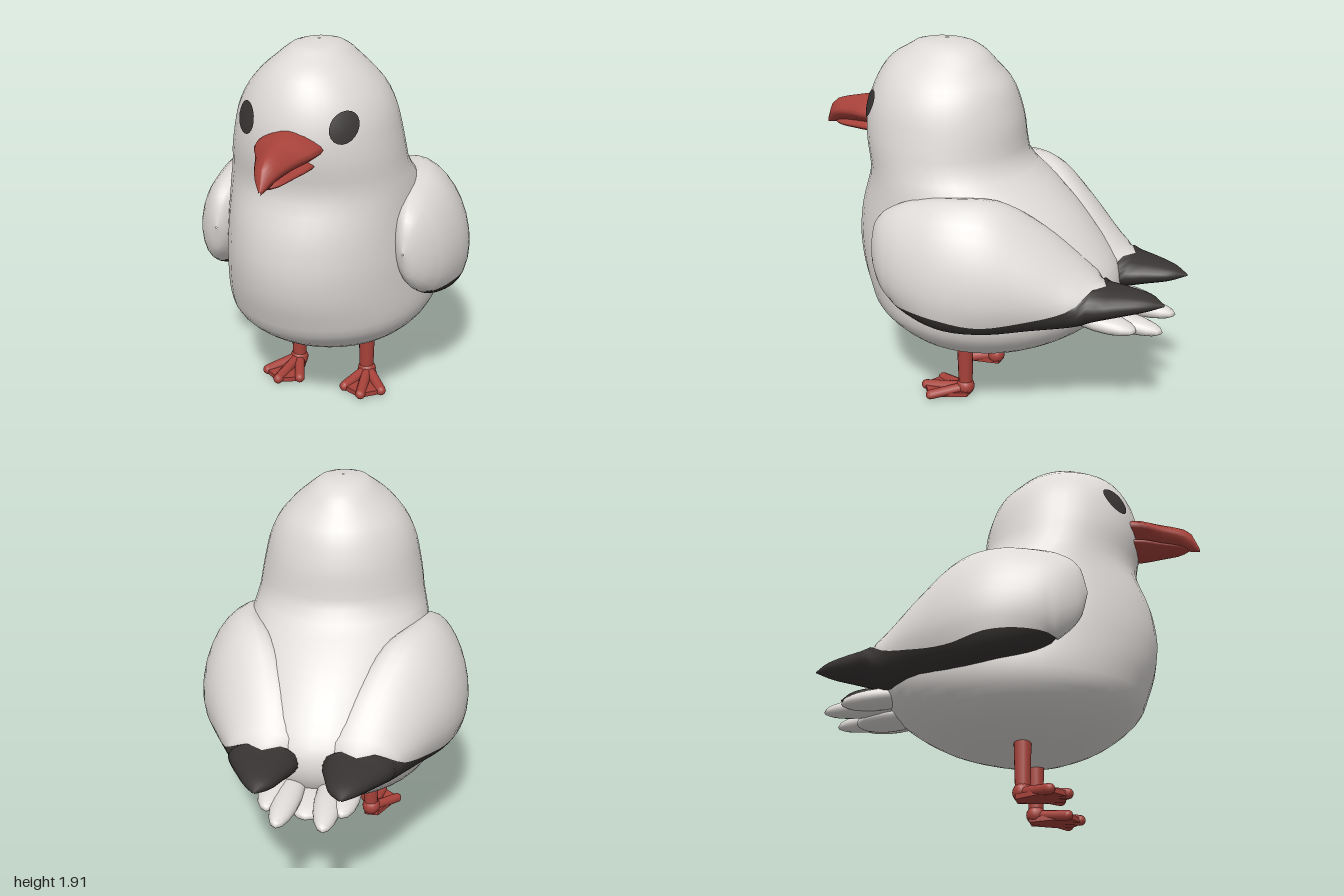
import * as THREE from 'three';
import { mergeVertices } from 'three/addons/utils/BufferGeometryUtils.js';

const mat = (name, color) => {
  const m = new THREE.MeshStandardMaterial({ color });
  m.name = name;
  return m;
};

// Smooth lookup in a table whose first column is the key
function sample(rows, k) {
  let i = 0;
  while (i < rows.length - 2 && k > rows[i + 1][0]) i++;
  const a = rows[i], b = rows[i + 1], h = b[0] - a[0];
  const t = THREE.MathUtils.clamp((k - a[0]) / h, 0, 1);
  const before = rows[Math.max(i - 1, 0)], after = rows[Math.min(i + 2, rows.length - 1)];
  return a.map((v, c) => {
    const m0 = (b[c] - before[c]) / (b[0] - before[0]) * h;
    const m1 = (after[c] - v) / (after[0] - a[0]) * h;
    const t2 = t * t, t3 = t2 * t;
    return (2 * t3 - 3 * t2 + 1) * v + (t3 - 2 * t2 + t) * m0 + (3 * t2 - 2 * t3) * b[c] + (t3 - t2) * m1;
  });
}

// Smooth surface over a grid of u and v in 0..1, mirrored when side is -1
function surface(nu, nv, fn, side = 1) {
  const pos = [], idx = [];
  for (let j = 0; j <= nv; j++) {
    for (let i = 0; i <= nu; i++) {
      const [x, y, z] = fn(i / nu, j / nv);
      pos.push(x * side, y, z);
    }
  }
  for (let j = 0; j < nv; j++) {
    for (let i = 0; i < nu; i++) {
      const a = j * (nu + 1) + i, b = a + 1, c = a + nu + 1, d = c + 1;
      if (side > 0) idx.push(a, b, d, a, d, c);
      else idx.push(a, d, b, a, c, d);
    }
  }
  let g = new THREE.BufferGeometry();
  g.setAttribute('position', new THREE.Float32BufferAttribute(pos, 3));
  g.setIndex(idx);
  g = mergeVertices(g, 1e-5);
  g.computeVertexNormals();
  return g;
}

const ease = (v, lo, hi) => (lo + hi) / 2 - (hi - lo) / 2 * Math.cos(Math.PI * v);
const power = (v, p) => Math.sign(v) * Math.abs(v) ** p;

// y, half width, front z, back z
const BODY = [
  [0.288, 0.01, 0.06, 0.04], [0.30, 0.2, 0.25, -0.08], [0.33, 0.3, 0.38, -0.22],
  [0.39, 0.42, 0.51, -0.395], [0.5, 0.52, 0.645, -0.57], [0.6, 0.545, 0.69, -0.66],
  [0.7, 0.54, 0.725, -0.69], [0.8, 0.53, 0.743, -0.67], [0.9, 0.515, 0.747, -0.6],
  [1.05, 0.49, 0.725, -0.47], [1.15, 0.475, 0.69, -0.36], [1.24, 0.46, 0.66, -0.25],
  [1.3, 0.44, 0.662, -0.175], [1.4, 0.425, 0.68, -0.15], [1.5, 0.405, 0.685, -0.14],
  [1.6, 0.38, 0.67, -0.115], [1.7, 0.33, 0.635, -0.075], [1.79, 0.25, 0.58, 0],
  [1.84, 0.19, 0.52, 0.04], [1.87, 0.155, 0.46, 0.08], [1.9, 0.1, 0.4, 0.15], [1.91, 0.005, 0.27, 0.25],
];

// z, centre y, half height, centre x, half width, lean, height of the dark edge
const WING = [
  [-1, 0.757, 0.004, 0.2, 0.004, 0, 0.8], [-0.92, 0.757, 0.038, 0.2, 0.07, 0, 0.82],
  [-0.8, 0.747, 0.065, 0.215, 0.125, 0, 0.84], [-0.68, 0.735, 0.09, 0.23, 0.175, 0, 0.83],
  [-0.6, 0.75, 0.14, 0.24, 0.19, 0.02, 0.75], [-0.4, 0.835, 0.24, 0.33, 0.22, 0.05, 0.69],
  [-0.2, 0.9, 0.315, 0.44, 0.21, 0.07, 0.66], [0, 0.915, 0.32, 0.515, 0.18, 0.065, 0.69],
  [0.2, 0.92, 0.285, 0.51, 0.165, 0.05, 0.695], [0.34, 0.93, 0.22, 0.51, 0.11, 0.03, 0.67],
  [0.42, 0.94, 0.13, 0.5, 0.05, 0.01, 0.6], [0.45, 0.94, 0.005, 0.49, 0.003, 0, 0.55],
];

// z, half width, top y, bottom y
const UPPER_BEAK = [
  [0.56, 0.17, 1.58, 1.41], [0.7, 0.155, 1.575, 1.41], [0.8, 0.105, 1.555, 1.405],
  [0.9, 0.068, 1.53, 1.4], [0.96, 0.04, 1.495, 1.385], [1, 0.004, 1.4, 1.38],
];
const LOWER_BEAK = [
  [0.56, 0.13, 1.46, 1.37], [0.7, 0.12, 1.46, 1.368], [0.8, 0.085, 1.44, 1.37],
  [0.9, 0.05, 1.42, 1.375], [0.95, 0.004, 1.4, 1.39],
];

export function createModel() {
  const white = mat('white plumage', 0xdedad7);
  const dark = mat('dark plumage', 0x383433);
  const red = mat('red skin', 0xa8423a);
  const model = new THREE.Group();
  model.name = 'seabird';
  const add = (name, geometry, material) => {
    const mesh = new THREE.Mesh(geometry, material);
    mesh.name = name;
    model.add(mesh);
    return mesh;
  };

  // Body and head in one skin
  add('bodyAndHead', surface(40, 44, (u, v) => {
    const [y, w, f, b] = sample(BODY, ease(v, 0.288, 1.91));
    const a = u * Math.PI * 2;
    return [w * Math.sin(a), y, (f + b) / 2 + (f - b) / 2 * Math.cos(a)];
  }), white);

  // Beak
  const beak = rows => surface(20, 12, (u, v) => {
    const [z, w, t, b] = sample(rows, THREE.MathUtils.lerp(rows[0][0], rows.at(-1)[0], v));
    const a = u * Math.PI * 2;
    return [w * power(Math.cos(a), 1.35), (t + b) / 2 + (t - b) / 2 * power(Math.sin(a), 1.35), z];
  });
  add('upperBeak', beak(UPPER_BEAK), red);
  add('lowerBeak', beak(LOWER_BEAK), red);

  // Wings: pale upper part and dark lower edge meet along a shared line
  const wingPart = (upper, side) => surface(20, 44, (u, v) => {
    const [z, cy, ry, cx, rx, lean, edge] = sample(WING, ease(v, -1, 0.45));
    const a = Math.asin(THREE.MathUtils.clamp((edge - cy) / ry, -1, 1));
    const from = upper ? a : -Math.PI - a;
    const to = upper ? Math.PI - a : a;
    const p = THREE.MathUtils.lerp(from, to, u);
    return [cx + rx * Math.cos(p) - lean * Math.sin(p), cy + ry * Math.sin(p), z];
  }, side);

  for (const side of [1, -1]) {
    const label = side > 0 ? 'left' : 'right';
    add(label + 'Wing', wingPart(true, side), white);
    add(label + 'WingEdge', wingPart(false, side), dark);

    // Eye hugging the curve of the head
    add(label + 'Eye', surface(20, 4, (u, v) => {
      const a = u * Math.PI * 2, r = 1 - v;
      const x = 0.238 + 0.056 * r * Math.cos(a), y = 1.59 + 0.073 * r * Math.sin(a);
      const [, w, f, b] = sample(BODY, y);
      return [x * 1.01, y, (f + b) / 2 + (f - b) / 2 * Math.sqrt(1 - (x / w) ** 2) + 0.006];
    }, side), dark);

    // Leg
    const leg = add(label + 'Leg', new THREE.CylinderGeometry(0.045, 0.037, 0.31, 14), red);
    leg.position.set(0.195 * side, 0.2, 0.08);
    const ankle = add(label + 'Ankle', new THREE.SphereGeometry(0.05, 14, 10), red);
    ankle.position.set(0.197 * side, 0.055, 0.08);

    // Foot: three toes joined by a web
    const tips = [[0.125, 0.26], [0.235, 0.31], [0.33, 0.235]];
    for (const [x, z] of tips) {
      const start = new THREE.Vector3(0.2 * side, 0.055, 0.07);
      const end = new THREE.Vector3(x * side, 0.027, z);
      const dir = end.clone().sub(start);
      const toe = add(label + 'Toe', new THREE.CapsuleGeometry(0.027, dir.length() - 0.02, 4, 10), red);
      toe.position.copy(start).add(end).multiplyScalar(0.5);
      toe.quaternion.setFromUnitVectors(new THREE.Vector3(0, 1, 0), dir.normalize());
    }
    const web = new THREE.Shape([[0.165, 0.05], ...tips, [0.24, 0.05]]
      .map(([x, z]) => new THREE.Vector2(x * side, -z)));
    const webMesh = add(label + 'Web', new THREE.ExtrudeGeometry(web, { depth: 0.025, bevelEnabled: false }), red);
    webMesh.rotation.x = -Math.PI / 2;
    webMesh.position.y = 0.012;
  }

  // Tail feathers: x, y, z, half sizes, sideways splay
  const feathers = [
    [0.1, 0.585, -0.74, 0.07, 0.05, 0.235, 0.05], [-0.1, 0.585, -0.74, 0.07, 0.05, 0.235, -0.05],
    [0.17, 0.595, -0.66, 0.08, 0.05, 0.2, 0.06], [-0.17, 0.595, -0.66, 0.08, 0.05, 0.2, -0.06],
    [0, 0.545, -0.65, 0.11, 0.05, 0.18, 0],
  ];
  for (const [x, y, z, sx, sy, sz, splay] of feathers) {
    const feather = add('tailFeather', new THREE.SphereGeometry(1, 16, 12), white);
    feather.position.set(x, y, z);
    feather.scale.set(sx, sy, sz);
    feather.rotation.set(-0.08, -splay, 0);
  }
  return model;
}
